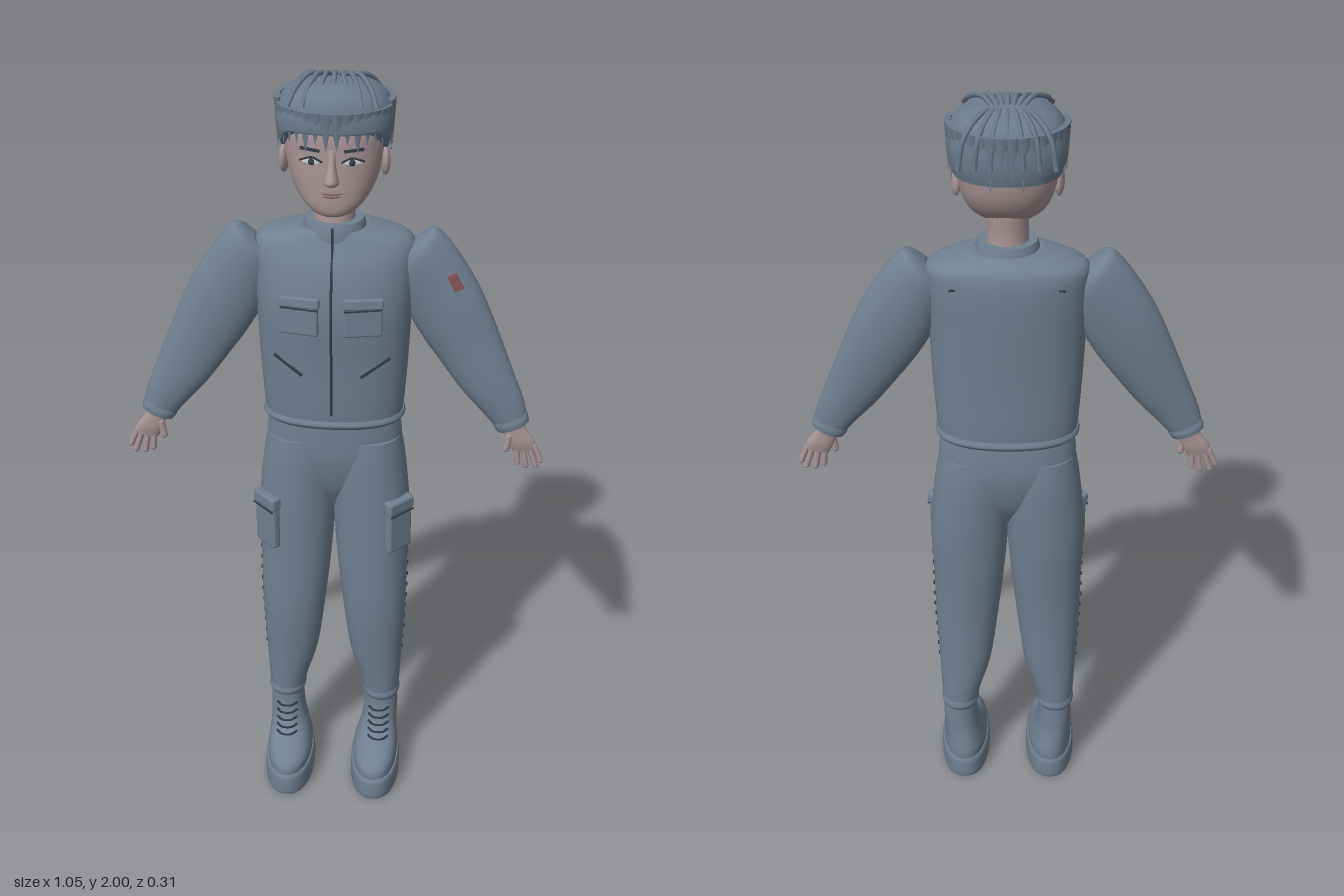
import * as THREE from 'three';
import { RoundedBoxGeometry } from 'three/addons/geometries/RoundedBoxGeometry.js';

const mat = (name, color) => {
  const m = new THREE.MeshStandardMaterial({ color });
  m.name = name;
  return m;
};

// Catmull-Rom blend between b and c
function blend(a, b, c, d, t) {
  const cubic = 3 * (b - c) + d - a;
  const square = 2 * a - 5 * b + 4 * c - d;
  return b + 0.5 * t * (c - a + t * (square + t * cubic));
}

// Smoothing of rows of numbers
function smoothRows(rows, steps) {
  const out = [], last = rows.length - 1;
  for (let i = 0; i < last; i++) {
    const a = rows[Math.max(i - 1, 0)], b = rows[i], c = rows[i + 1], d = rows[Math.min(i + 2, last)];
    for (let s = 0; s < steps; s++) out.push(b.map((v, k) => blend(a[k], v, c[k], d[k], s / steps)));
  }
  out.push(rows[last]);
  return out;
}

// Closed skin over a stack of rings, listed from bottom to top
function loft(rows, ring, n = 2.2, seg = 36) {
  const pos = [], idx = [], all = smoothRows(rows, 4);
  const pow = (v) => Math.sign(v) * Math.pow(Math.abs(v), 2 / n);
  const addRing = (row) => {
    for (let i = 0; i < seg; i++) {
      const a = (i / seg) * Math.PI * 2;
      pos.push(...ring(row, pow(Math.cos(a)), pow(Math.sin(a))));
    }
  };
  all.forEach(addRing);
  for (let j = 0; j < all.length - 1; j++) {
    for (let i = 0; i < seg; i++) {
      const p = j * seg + i, q = j * seg + (i + 1) % seg;
      idx.push(p, p + seg, q, q, p + seg, q + seg);
    }
  }
  // End caps
  [all[0], all[all.length - 1]].forEach((row, top) => {
    const start = pos.length / 3;
    addRing(row);
    pos.push(...ring(row, 0, 0));
    for (let i = 0; i < seg; i++) {
      const p = start + i, q = start + (i + 1) % seg;
      if (top) idx.push(start + seg, q, p);
      else idx.push(start + seg, p, q);
    }
  });
  const g = new THREE.BufferGeometry();
  g.setAttribute('position', new THREE.Float32BufferAttribute(pos, 3));
  g.setIndex(idx);
  g.computeVertexNormals();
  return g;
}
// row: y, centre x, half width, front z, back z
const upright = ([y, cx, rx, zf, zb], c, s) => [cx + rx * c, y, (zf + zb) / 2 + (zf - zb) / 2 * s];
// row: outer x, outer y, inner x, inner y, centre z, half depth
const slanted = ([ox, oy, ix, iy, z, rz], c, s) => [(ox + ix) / 2 + (ox - ix) / 2 * c, (oy + iy) / 2 + (oy - iy) / 2 * c, z + rz * s];

export function createModel() {
  const cloth = mat('slate cloth', 0x708090), hairMat = mat('slate hair', 0x6b7b8b), skin = mat('skin', 0xa89496);
  const dark = mat('dark trim', 0x343c45), white = mat('eye white', 0xd0d2d6), lip = mat('lip', 0x8c7275), red = mat('patch red', 0x8a5a5c);
  const model = new THREE.Group();
  model.name = 'figure';
  const left = new THREE.Group(), right = new THREE.Group();
  left.name = 'leftSide';
  right.name = 'rightSide';
  right.scale.x = -1;
  model.add(left, right);

  const add = (name, geo, m, p = [0, 0, 0], r = [0, 0, 0], s = [1, 1, 1], parent = model) => {
    const mesh = new THREE.Mesh(geo, m);
    mesh.name = name;
    mesh.position.set(...p);
    mesh.rotation.set(...r);
    mesh.scale.set(...s);
    parent.add(mesh);
  };
  const pair = (name, geo, m, p, r, s) => [left, right].forEach((side) => add(name, geo, m, p, r, s, side));
  const box = (w, h, d) => new THREE.BoxGeometry(w, h, d);
  const ball = new THREE.SphereGeometry(1, 20, 14);
  const tube = (pts, r, n = 24) => new THREE.TubeGeometry(new THREE.CatmullRomCurve3(pts.map((p) => new THREE.Vector3(...p))), n, r, 6);

  // Jacket with waistband and collar
  add('jacket', loft([
    [1.13, 0, 0.165, 0.055, -0.128], [1.16, 0, 0.172, 0.062, -0.134], [1.3, 0, 0.181, 0.07, -0.138],
    [1.45, 0, 0.187, 0.08, -0.145], [1.55, 0, 0.191, 0.062, -0.148], [1.6, 0, 0.187, 0.04, -0.143],
    [1.622, 0, 0.15, 0.03, -0.13], [1.638, 0, 0.085, 0.025, -0.11]], upright, 2.3, 48), cloth);
  add('waistband', loft([[1.132, 0, 0.168, 0.058, -0.132], [1.143, 0, 0.177, 0.067, -0.14], [1.156, 0, 0.174, 0.063, -0.136]], upright, 2.3, 48), cloth);
  add('collar', loft([[1.615, 0, 0.078, 0.034, -0.108], [1.64, 0, 0.074, 0.031, -0.104], [1.657, 0, 0.069, 0.026, -0.099]], upright, 2), cloth);
  add('zip', tube([[0, 1.175, 0.064], [0, 1.3, 0.07], [0, 1.45, 0.08], [0, 1.55, 0.062], [0, 1.6, 0.04], [0, 1.652, 0.03]], 0.003), dark);
  pair('chestPocket', new RoundedBoxGeometry(0.092, 0.092, 0.014, 2, 0.005), cloth, [0.075, 1.445, 0.073], [0, 0.2, 0]);
  pair('chestPocketFlap', new RoundedBoxGeometry(0.098, 0.026, 0.016, 2, 0.005), cloth, [0.075, 1.482, 0.073], [-0.1, 0.2, 0]);
  pair('pocketSeam', box(0.09, 0.003, 0.004), dark, [0.076, 1.468, 0.081], [0, 0.2, 0]);
  pair('slashPocket', box(0.085, 0.005, 0.006), dark, [0.105, 1.308, 0.058], [0, 0.32, 0.55]);
  pair('backSeam', box(0.035, 0.004, 0.005), dark, [0.115, 1.57, -0.128], [0, 0.25, 0]);

  // Sleeves, from wrist to shoulder
  pair('sleeve', loft([
    [0.481, 1.142, 0.408, 1.11, -0.02, 0.025], [0.466, 1.2, 0.365, 1.16, -0.022, 0.031], [0.438, 1.27, 0.315, 1.215, -0.026, 0.037],
    [0.392, 1.385, 0.255, 1.295, -0.034, 0.044], [0.35, 1.48, 0.212, 1.355, -0.038, 0.05], [0.302, 1.56, 0.18, 1.41, -0.041, 0.053],
    [0.262, 1.612, 0.16, 1.46, -0.042, 0.055], [0.232, 1.632, 0.15, 1.5, -0.042, 0.053], [0.19, 1.602, 0.15, 1.54, -0.042, 0.04]], slanted, 2), cloth);
  pair('cuff', loft([[0.484, 1.137, 0.408, 1.104, -0.02, 0.028], [0.482, 1.15, 0.4, 1.114, -0.02, 0.03], [0.477, 1.162, 0.395, 1.126, -0.02, 0.028]], slanted, 2), cloth);
  add('sleevePatch', box(0.024, 0.045, 0.005), red, [0.288, 1.518, 0.012], [0, 0.15, 0.45]);

  // Hands
  pair('palm', loft([
    [0.508, 1.06, 0.45, 1.048, -0.018, 0.008], [0.5, 1.085, 0.438, 1.07, -0.018, 0.013],
    [0.48, 1.112, 0.428, 1.094, -0.018, 0.014], [0.468, 1.14, 0.422, 1.122, -0.02, 0.016]], slanted, 2.2, 20), skin);
  const finger = (name, r, z, [ax, ay, bx, by]) => pair(name, new THREE.CapsuleGeometry(r, Math.hypot(bx - ax, by - ay), 4, 10), skin,
    [(ax + bx) / 2, (ay + by) / 2, z], [0, 0, Math.atan2(bx - ax, ay - by)]);
  [[0.502, 1.066, 0.52, 1.024], [0.49, 1.06, 0.508, 1.008], [0.475, 1.056, 0.484, 1.007], [0.459, 1.055, 0.463, 1.016]]
    .forEach((line) => finger('finger', 0.0075, -0.018, line));
  finger('thumb', 0.009, -0.012, [0.438, 1.095, 0.432, 1.058]);

  // Trousers
  add('hips', loft([
    [0.87, 0, 0.03, -0.01, -0.07], [0.94, 0, 0.1, 0.025, -0.11], [1.02, 0, 0.165, 0.043, -0.13],
    [1.08, 0, 0.17, 0.046, -0.132], [1.15, 0, 0.162, 0.046, -0.125]], upright, 2.3, 40), cloth);
  pair('trouserLeg', loft([
    [0.24, 0.131, 0.045, 0.012, -0.097], [0.3, 0.127, 0.054, 0.018, -0.1], [0.4, 0.115, 0.07, 0.028, -0.101], [0.55, 0.108, 0.083, 0.043, -0.104],
    [0.7, 0.101, 0.092, 0.046, -0.115], [0.85, 0.097, 0.099, 0.047, -0.126], [1.0, 0.088, 0.094, 0.047, -0.131], [1.08, 0.085, 0.084, 0.042, -0.125]], upright, 2.1), cloth);
  pair('trouserCuff', loft([[0.24, 0.131, 0.045, 0.011, -0.096], [0.254, 0.131, 0.051, 0.017, -0.102], [0.27, 0.13, 0.049, 0.014, -0.099]], upright, 2.1), cloth);
  pair('cargoPocket', new RoundedBoxGeometry(0.078, 0.145, 0.024, 3, 0.008), cloth, [0.168, 0.835, 0.02], [0, 0.8, 0]);
  pair('cargoPocketFlap', new RoundedBoxGeometry(0.084, 0.036, 0.03, 3, 0.008), cloth, [0.169, 0.898, 0.021], [0, 0.8, 0]);
  pair('cargoPocketSeam', box(0.078, 0.003, 0.004), dark, [0.179, 0.878, 0.031], [0, 0.8, 0]);
  for (let i = 0; i < 12; i++) {
    const y = 0.4 + i * 0.035;
    pair('sideStitch', box(0.004, 0.01, 0.004), dark, [0.186 + Math.min(0.008, (y - 0.4) * 0.04), y, -0.035]);
  }

  // Boots with soles and laces
  pair('bootSole', loft([
    [0, 0.12, 0.06, 0.146, -0.11], [0.01, 0.12, 0.067, 0.155, -0.118],
    [0.055, 0.12, 0.067, 0.155, -0.118], [0.068, 0.12, 0.063, 0.15, -0.114]], upright, 2.25, 40), cloth);
  pair('boot', loft([
    [0.062, 0.12, 0.06, 0.146, -0.112], [0.09, 0.12, 0.061, 0.143, -0.112], [0.112, 0.122, 0.057, 0.115, -0.108], [0.135, 0.125, 0.052, 0.062, -0.103],
    [0.16, 0.128, 0.048, 0.03, -0.099], [0.2, 0.131, 0.046, 0.014, -0.097], [0.25, 0.131, 0.044, 0.01, -0.095]], upright, 2.2, 40), cloth);
  for (let i = 0; i < 5; i++) {
    const y = 0.14 + i * 0.021, z = 0.062 - i * 0.006;
    pair('lace', tube([[0.1, y, z - 0.02], [0.115, y + 0.003, z], [0.14, y + 0.003, z], [0.155, y, z - 0.02]], 0.003, 10), dark);
  }

  // Neck and head
  add('neck', loft([[1.62, 0, 0.052, 0.015, -0.088], [1.68, 0, 0.048, 0.01, -0.085], [1.74, 0, 0.05, 0.01, -0.09]], upright, 2), skin);
  add('head', loft([
    [1.682, 0, 0.028, 0.036, -0.015], [1.69, 0, 0.046, 0.045, -0.03], [1.71, 0, 0.07, 0.05, -0.06], [1.74, 0, 0.091, 0.051, -0.1], [1.78, 0, 0.106, 0.051, -0.125],
    [1.83, 0, 0.115, 0.05, -0.137], [1.88, 0, 0.115, 0.048, -0.138], [1.93, 0, 0.095, 0.03, -0.12], [1.96, 0, 0.05, -0.01, -0.08]], upright, 2.2, 48), skin);
  add('nose', loft([
    [1.763, 0, 0.01, 0.062, 0.03], [1.772, 0, 0.018, 0.08, 0.03], [1.785, 0, 0.015, 0.081, 0.03],
    [1.81, 0, 0.01, 0.066, 0.03], [1.845, 0, 0.009, 0.052, 0.03]], upright, 2, 16), skin);
  add('upperLip', ball, lip, [0, 1.745, 0.05], [0, 0, 0], [0.026, 0.004, 0.006]);
  add('lowerLip', ball, lip, [0, 1.738, 0.05], [0, 0, 0], [0.02, 0.005, 0.006]);
  pair('eye', ball, white, [0.047, 1.818, 0.045], [0, 0.22, 0], [0.023, 0.009, 0.004]);
  pair('iris', ball, dark, [0.046, 1.818, 0.0475], [0, 0.22, 0], [0.008, 0.008, 0.004]);
  pair('eyelid', tube([[0.022, 1.818, 0.051], [0.045, 1.829, 0.049], [0.073, 1.82, 0.042]], 0.0025, 10), dark);
  pair('eyebrow', box(0.045, 0.006, 0.006), dark, [0.05, 1.846, 0.045], [0, 0.22, 0.08]);
  pair('ear', ball, skin, [0.116, 1.797, -0.032], [0.15, 0.25, 0], [0.011, 0.036, 0.022]);

  // Hair cap, rim raised over the forehead
  const cap = loft([
    [1.83, 0, 0.122, 0.056, -0.146], [1.86, 0, 0.131, 0.063, -0.152], [1.9, 0, 0.135, 0.067, -0.153],
    [1.94, 0, 0.124, 0.062, -0.146], [1.965, 0, 0.1, 0.046, -0.125], [1.98, 0, 0.062, 0.02, -0.09], [1.985, 0, 0.015, -0.02, -0.05]], upright, 2.3, 60);
  const p = cap.attributes.position;
  for (let i = 0; i < p.count; i++) p.setY(i, Math.max(p.getY(i), 1.83 + 0.055 * THREE.MathUtils.smoothstep(p.getZ(i), -0.03, 0.045)));
  cap.computeVertexNormals();
  add('hairCap', cap, hairMat);

  // Hanging locks all round, shorter over the face
  for (let i = 0; i < 34; i++) {
    const a = (i / 34) * Math.PI * 2, c = Math.cos(a), s = Math.sin(a);
    const front = s > 0.35, h = (front ? 0.085 : 0.12) + 0.012 * Math.sin(i * 2.4);
    const lock = new THREE.ConeGeometry(0.017, h, 8).rotateX(Math.PI);
    add(front ? 'fringeLock' : 'hairLock', lock, hairMat,
      [0.131 * c, (front ? 1.935 : 1.945) - h / 2, -0.043 + 0.107 * s], [0, Math.PI / 2 - a, 0], [1, 1, 0.45]);
  }
  // Loose strands curving over the crown
  for (let i = -3; i <= 3; i++) {
    const x = i * 0.022;
    add('crownStrand', tube([[x * 0.4, 1.974, -0.07], [x * 0.8, 1.994, -0.04], [x * 1.25, 1.976, 0.01], [x * 1.5, 1.945, 0.055]], 0.006, 14), hairMat);
    add('backStrand', tube([[x * 0.4, 1.976, -0.05], [x * 0.9, 1.975, -0.1], [x * 1.4, 1.94, -0.142], [x * 1.6, 1.87, -0.15]], 0.006, 14), hairMat);
  }
  return model;
}
